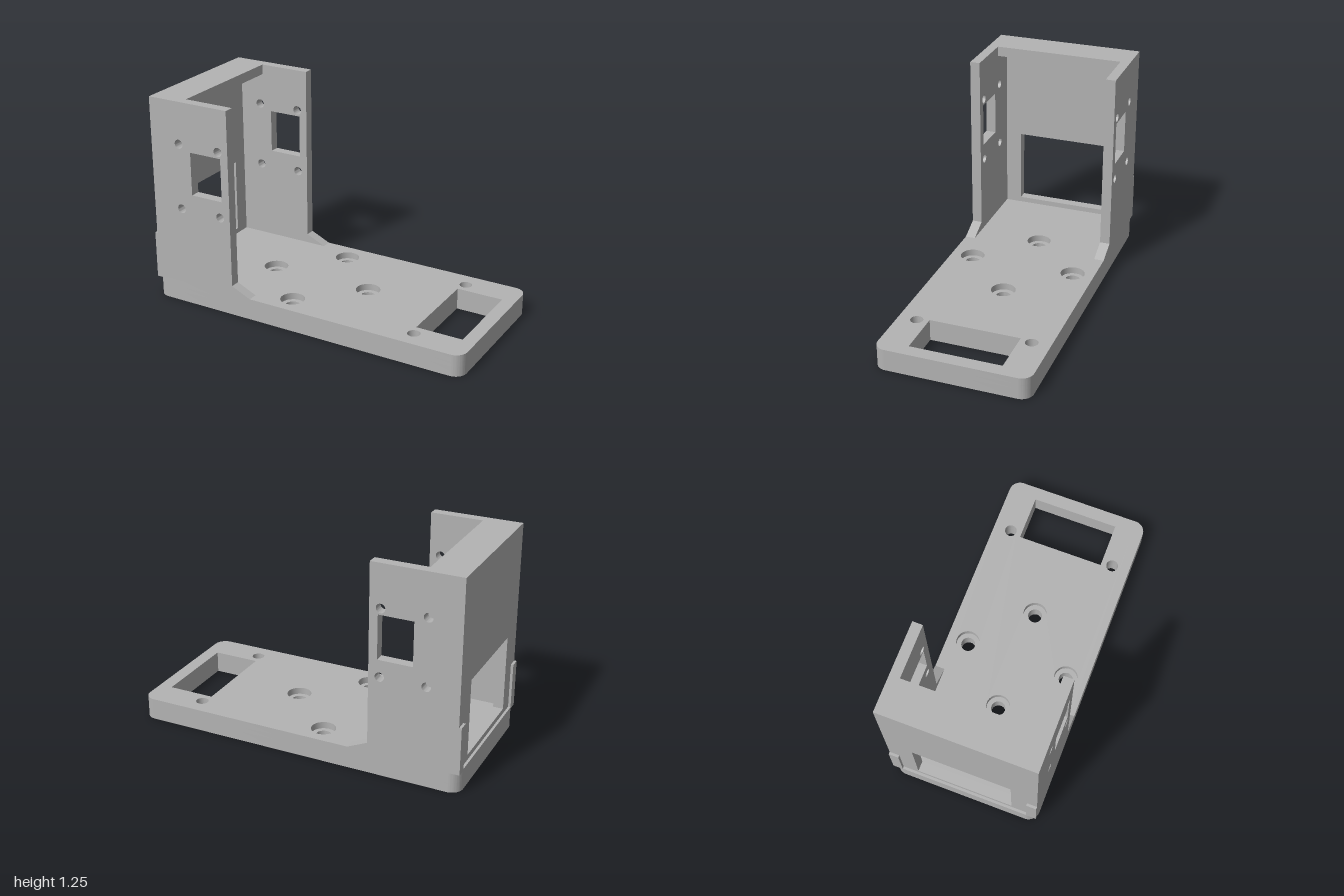
import * as THREE from 'three';
import { toCreasedNormals } from 'three/addons/utils/BufferGeometryUtils.js';

const HALF_W = 0.45;   // half width of the bracket
const WALL = 0.06;     // wall thickness
const BACK = -0.985;   // outer face of the back wall

function circle(x, y, r) {
  const path = new THREE.Path();
  path.absarc(x, y, r, 0, Math.PI * 2, true);
  return path;
}

function rect(x0, y0, x1, y1, Type = THREE.Path) {
  return new Type([[x0, y0], [x1, y0], [x1, y1], [x0, y1]].map(p => new THREE.Vector2(...p)));
}

function roundedRect(hx, hy, r) {
  const s = new THREE.Shape();
  s.absarc(hx - r, hy - r, r, 0, Math.PI / 2);
  s.absarc(-hx + r, hy - r, r, Math.PI / 2, Math.PI);
  s.absarc(-hx + r, -hy + r, r, Math.PI, Math.PI * 1.5);
  s.absarc(hx - r, -hy + r, r, Math.PI * 1.5, Math.PI * 2);
  s.closePath();
  return s;
}

function extrude(shape, depth) {
  const g = new THREE.ExtrudeGeometry(shape, { depth, bevelEnabled: false, curveSegments: 16 });
  return toCreasedNormals(g, 0.6);
}

export function createModel() {
  const model = new THREE.Group();
  model.name = 'mountingBracket';
  const grey = new THREE.MeshStandardMaterial({ color: 0xb3b3b3 });
  grey.name = 'grey';

  const add = (name, geometry, parent = model) => {
    const mesh = new THREE.Mesh(geometry, grey);
    mesh.name = name;
    parent.add(mesh);
    return mesh;
  };

  // Base plate: stacked layers form the counterbores and the blind pin hole
  const base = new THREE.Group();
  base.name = 'basePlate';
  model.add(base);
  const screws = [[-0.445, 0], [0.19, 0], [-0.13, 0.32], [-0.13, -0.32]];
  const layers = [
    { name: 'baseBottom', y0: 0, y1: 0.06, r: 0.043, pin: true },
    { name: 'baseMiddle', y0: 0.06, y1: 0.09, r: 0.043 },
    { name: 'baseTop', y0: 0.09, y1: 0.13, r: 0.072 },
  ];
  for (const { name, y0, y1, r, pin } of layers) {
    const s = roundedRect(1, HALF_W, 0.07);
    s.holes.push(rect(0.64, -0.27, 0.92, 0.27));
    for (const z of [-0.34, 0.34]) s.holes.push(circle(0.66, z, 0.037));
    for (const [x, z] of screws) s.holes.push(circle(x, z, r));
    if (pin) s.holes.push(circle(0.096, -0.226, 0.043));
    const g = extrude(s, y1 - y0);
    g.rotateX(-Math.PI / 2);
    g.translate(0, y0, 0);
    add(name, g, base);
  }

  // Side walls with rear lip, front gusset, window and four screw holes
  const outline = [
    [-1, 0.12], [-0.34, 0.12], [-0.34, 0.13], [-0.46, 0.185],
    [-0.46, 1.25], [BACK, 1.25], [BACK, 0.405], [-1, 0.405],
  ];
  const side = new THREE.Shape(outline.map(p => new THREE.Vector2(...p)));
  side.holes.push(rect(-0.715, 0.70, -0.51, 0.96));
  for (const x of [-0.793, -0.525])
    for (const y of [0.60, 0.997]) side.holes.push(circle(x, y, 0.027));
  const sideGeometry = extrude(side, WALL);
  add('leftSideWall', sideGeometry).position.z = -HALF_W;
  add('rightSideWall', sideGeometry).position.z = HALF_W - WALL;
  model.children.find(c => c.name === 'leftSideWall').name = 'backSideWall';
  model.children.find(c => c.name === 'rightSideWall').name = 'frontSideWall';

  // Rear wall with a large opening, drawn across z and turned to face -x
  const inner = HALF_W - WALL;
  const rear = rect(-inner, 0.12, inner, 1.25, THREE.Shape);
  rear.holes.push(rect(-0.293, 0.162, 0.293, 0.615));
  const rearGeometry = extrude(rear, WALL);
  rearGeometry.rotateY(Math.PI / 2);
  rearGeometry.translate(BACK, 0, 0);
  add('rearWall', rearGeometry);

  // Top bridge between the side walls
  const bridgeEnd = -0.77;
  const bridgeStart = BACK + WALL;
  const bridge = new THREE.BoxGeometry(bridgeEnd - bridgeStart, 0.06, inner * 2);
  bridge.translate((bridgeStart + bridgeEnd) / 2, 1.22, 0);
  add('topBridge', bridge);

  return model;
}
